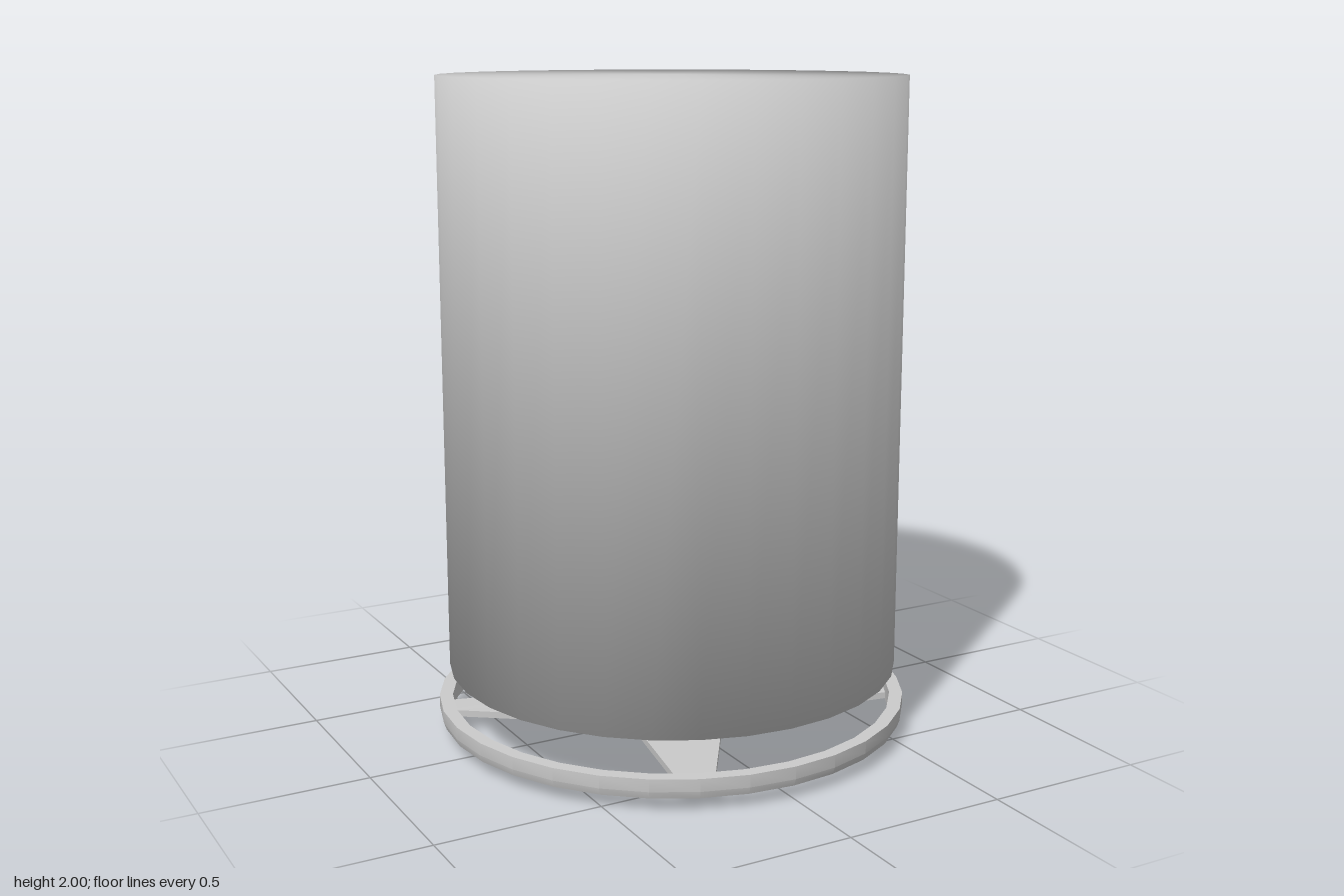
import * as THREE from 'three';
import { mergeVertices, toCreasedNormals } from 'three/addons/utils/BufferGeometryUtils.js';

const SIDES = 32;
const material = new THREE.MeshStandardMaterial({ color: 0xcccccc });

function addPart(group, name, geometry) {
  const mesh = new THREE.Mesh(geometry, material);
  mesh.name = name;
  group.add(mesh);
  return mesh;
}

// Solid of revolution standing between two heights
function drum(rTop, rBottom, y0, y1, sides = SIDES) {
  return new THREE.CylinderGeometry(rTop, rBottom, y1 - y0, sides).translate(0, (y0 + y1) / 2, 0);
}

// Drum whose caps and wall share soft normals at the rims
function softDrum(radius, y0, y1, lift) {
  let geo = drum(radius, radius, y0, y1);
  geo.deleteAttribute('uv');
  geo.deleteAttribute('normal');
  geo = mergeVertices(geo);
  geo.computeVertexNormals();
  const pos = geo.attributes.position;
  const normal = geo.attributes.normal;
  const n = new THREE.Vector3();
  for (let i = 0; i < pos.count; i++) {
    const up = pos.getY(i) > (y0 + y1) / 2 ? lift : -lift;
    n.set(pos.getX(i) / radius, up, pos.getZ(i) / radius).normalize();
    normal.setXYZ(i, n.x, n.y, n.z);
  }
  return geo;
}

// Four-pointed star plate, slightly dished down towards its centre
function starPlate() {
  const shape = new THREE.Shape();
  const outline = [];
  for (let i = 0; i < 4; i++) {
    const a = i * Math.PI / 2 - Math.PI / 8;
    for (const [r, offset] of [[0.28, -0.47], [0.7, -0.06], [0.7, 0.06], [0.28, 0.47]]) {
      outline.push(new THREE.Vector2(r * Math.cos(a + offset), r * Math.sin(a + offset)));
    }
  }
  shape.setFromPoints(outline);
  const hole = new THREE.Path();
  hole.absarc(0, 0, 0.035, 0, Math.PI * 2, true);
  shape.holes.push(hole);

  const geo = new THREE.ExtrudeGeometry(shape, { depth: 0.02, bevelEnabled: false, curveSegments: 8 });
  geo.rotateX(-Math.PI / 2).translate(0, 0.045, 0);
  const pos = geo.attributes.position;
  for (let i = 0; i < pos.count; i++) {
    const r = Math.hypot(pos.getX(i), pos.getZ(i));
    pos.setY(i, pos.getY(i) - 0.015 * (1 - r / 0.7));
  }
  geo.computeVertexNormals();
  return geo;
}

export function createModel() {
  const group = new THREE.Group();
  group.name = 'drumOnWheel';

  // Large upper drum
  addPart(group, 'drum', softDrum(0.695, 0.2, 2, 0.71)).position.set(0.005, 0, -0.003);

  // Shaft, tapered hub and the pin below
  addPart(group, 'shaft', drum(0.048, 0.048, 0.15, 0.21, 16)).position.x = 0.005;
  addPart(group, 'hub', drum(0.185, 0.235, 0.06, 0.155)).position.x = 0.005;
  addPart(group, 'pin', drum(0.032, 0.032, 0, 0.07, 16)).position.x = 0.005;

  // Rim of the base wheel
  const section = [[0.685, 0.04], [0.718, 0.04], [0.726, 0.062], [0.726, 0.1], [0.685, 0.1], [0.685, 0.04]];
  const rim = new THREE.LatheGeometry(section.map(([r, y]) => new THREE.Vector2(r, y)), SIDES);
  addPart(group, 'rim', toCreasedNormals(rim, 0.35));

  // Spokes
  addPart(group, 'spokes', starPlate());

  return group;
}
